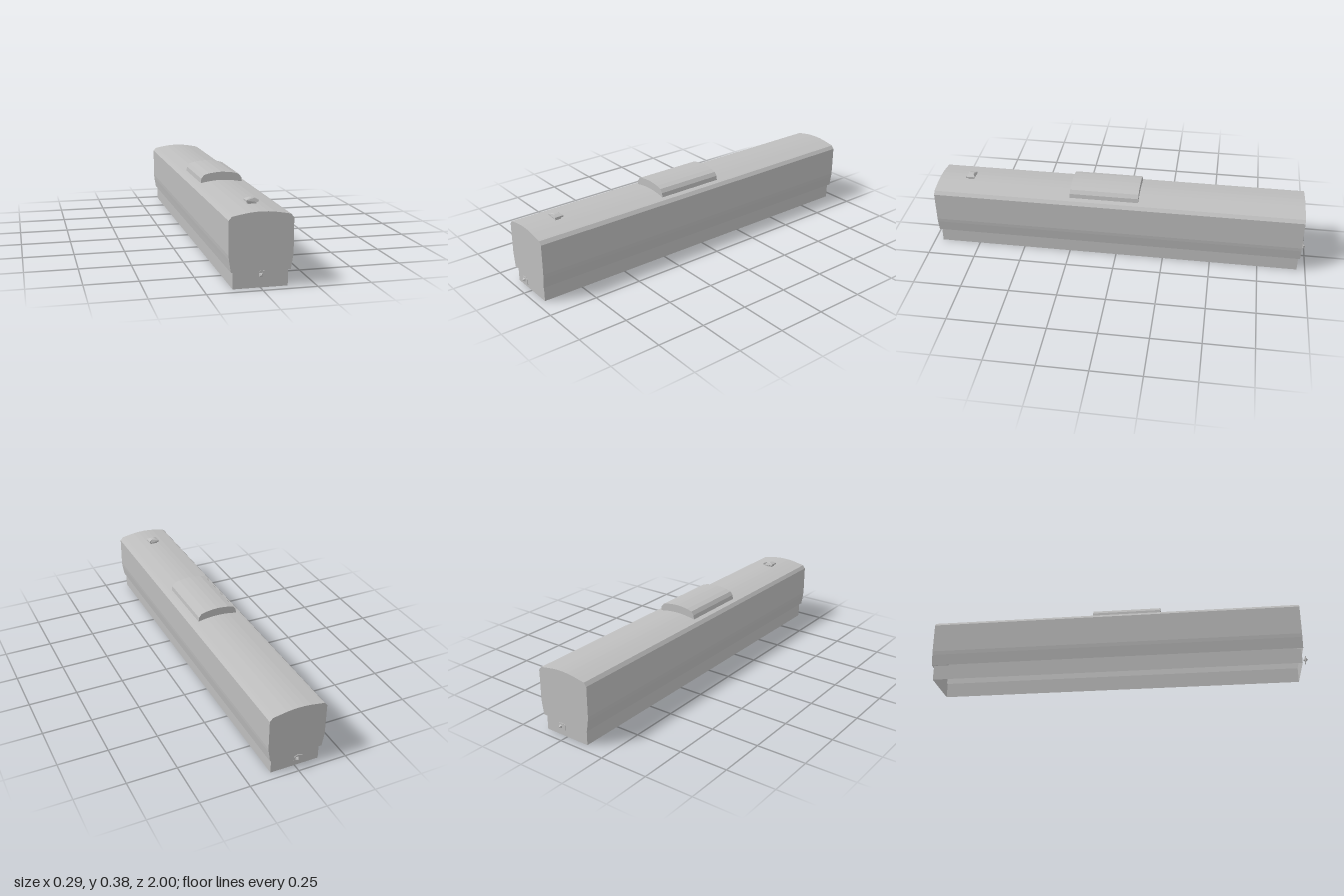
import * as THREE from 'three';

const grey = new THREE.MeshStandardMaterial({ color: 0xbebebe, side: THREE.DoubleSide, flatShading: true });
grey.name = 'plain grey';

const add = (parent, name, geometry) => {
  const mesh = new THREE.Mesh(geometry, grey);
  mesh.name = name;
  parent.add(mesh);
  return mesh;
};

// Full outline, from right bottom over the top to left bottom, from its +x half
const mirror = half => [...half, ...half.filter(p => p[0] > 0).reverse().map(([x, y]) => [-x, y])];
const toShape = pts => new THREE.Shape(pts.map(([x, y]) => new THREE.Vector2(x, y)));

// Solid extruded along z between z0 and z1
function prism(pts, z0, z1) {
  return new THREE.ExtrudeGeometry(toShape(pts), { depth: z1 - z0, bevelEnabled: false }).translate(0, 0, z0);
}

// Walls along an open outline, left open underneath
function walls(pts, z0, z1) {
  const pos = [];
  for (let i = 0; i < pts.length - 1; i++) {
    const [ax, ay] = pts[i], [bx, by] = pts[i + 1];
    pos.push(ax, ay, z1, ax, ay, z0, bx, by, z0, ax, ay, z1, bx, by, z0, bx, by, z1);
  }
  const g = new THREE.BufferGeometry();
  g.setAttribute('position', new THREE.Float32BufferAttribute(pos, 3));
  g.computeVertexNormals();
  return g;
}

export function createModel() {
  const model = new THREE.Group();
  model.name = 'railCoach';

  // Hollow coach body with curved roof and tucked-in lower sides
  const roof = [[0.118, 0.328], [0.09, 0.333], [0.06, 0.338], [0.03, 0.341], [0, 0.342]];
  const outline = mirror([[0.135, 0.078], [0.14, 0.11], [0.144, 0.135], [0.146, 0.155],
    [0.146, 0.308], [0.132, 0.325], ...roof]);
  const L = 0.966;
  add(model, 'bodyShell', walls(outline, -L, L));
  add(model, 'bodyFrontEnd', new THREE.ShapeGeometry(toShape(outline)).translate(0, 0, L));
  add(model, 'bodyBackEnd', new THREE.ShapeGeometry(toShape(outline)).rotateY(Math.PI).translate(0, 0, -L));

  // Underframe skirt: four thin walls, open above and below
  const W = 0.125, S = 0.957, H = 0.079;
  for (const s of [1, -1]) {
    const turn = s > 0 ? 0 : Math.PI;
    add(model, 'skirtSide', new THREE.PlaneGeometry(2 * S, H).rotateY(s * Math.PI / 2).translate(s * W, H / 2, 0));
    add(model, 'skirtEnd', new THREE.PlaneGeometry(2 * W, H).rotateY(turn).translate(0, H / 2, s * S));
  }

  // Raised roof unit, its underside following the roof
  const hood = mirror([[0.107, 0.33], [0.104, 0.352], [0.09, 0.37], [0.062, 0.378], [0.03, 0.382], [0, 0.384]]);
  const under = mirror(roof).reverse();
  add(model, 'roofUnit', prism([...hood, ...under], -0.113, 0.245));

  // Small roof vent: neck and domed cap
  const vent = new THREE.Group();
  vent.name = 'roofVent';
  vent.position.z = 0.797;
  add(vent, 'ventNeck', new THREE.BoxGeometry(0.04, 0.01, 0.03).translate(0, 0.346, 0));
  const cap = mirror([[0.022, 0.349], [0.029, 0.353], [0.029, 0.36], [0.02, 0.364], [0.01, 0.368], [0, 0.369]]);
  const capGeo = prism(cap, -0.024, 0.024);
  const p = capGeo.attributes.position;
  // Pull the cap's ends in above and below its rim
  for (let i = 0; i < p.count; i++) {
    const off = Math.max(0, Math.abs(p.getY(i) - 0.3565) - 0.0036);
    p.setZ(i, p.getZ(i) * (1 - off * 55));
  }
  add(vent, 'ventCap', capGeo);
  model.add(vent);

  // Couplers: thin plate with a pointed nub, one at each end
  const plate = mirror([[0.011, 0.051], [0.011, 0.053], [0.022, 0.054], [0.022, 0.082], [0.011, 0.083], [0.009, 0.086]]);
  for (const s of [1, -1]) {
    const coupler = new THREE.Group();
    coupler.name = s > 0 ? 'frontCoupler' : 'backCoupler';
    add(coupler, 'couplerPlate', prism(plate, 0.985, 0.988));
    add(coupler, 'couplerNub', new THREE.ConeGeometry(0.0113, 0.012, 4, 1).rotateY(Math.PI / 4)
      .rotateX(Math.PI / 2).translate(-0.007, 0.068, 0.994));
    add(coupler, 'couplerStem', new THREE.BoxGeometry(0.006, 0.006, 0.008).translate(-0.004, 0.068, 0.981));
    if (s < 0) coupler.rotation.y = Math.PI;
    model.add(coupler);
  }
  return model;
}
